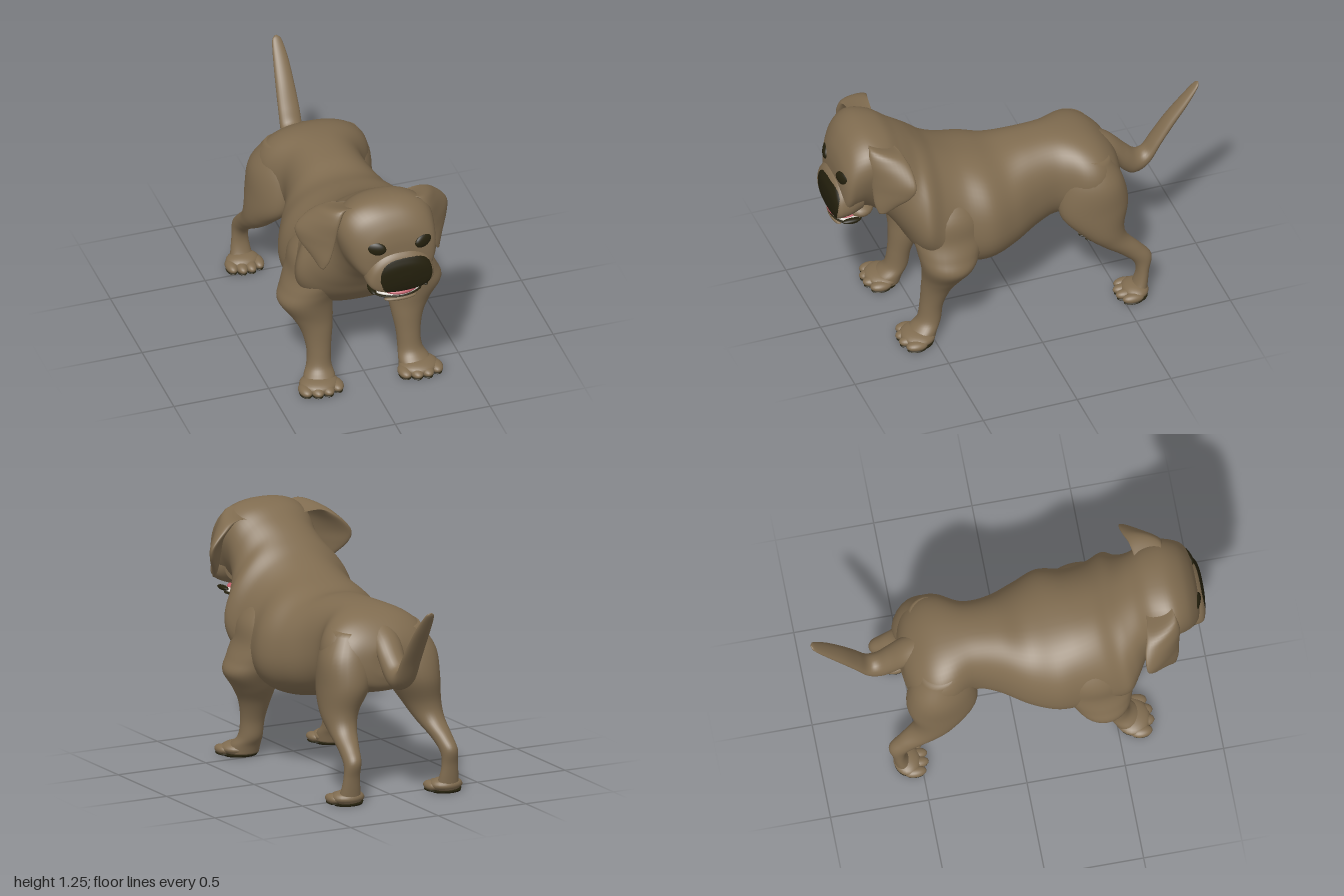
import * as THREE from 'three';

const material = (name, color) => {
  const m = new THREE.MeshStandardMaterial({ color });
  m.name = name;
  return m;
};

// Smooth closed skin through rings [pointA, pointB, halfWidth, pear]; pear > 0 is wider towards B.
// paint(x, y, z) picks the faces of the second material.
function loft(rings, { side = [1, 0, 0], steps = 6, segs = 40, square = 1, paint = null } = {}) {
  const curve = (pts) => new THREE.CatmullRomCurve3(pts, false, 'catmullrom', 0.5);
  const ca = curve(rings.map((r) => new THREE.Vector3(...r[0])));
  const cb = curve(rings.map((r) => new THREE.Vector3(...r[1])));
  const cw = curve(rings.map((r) => new THREE.Vector3(r[2], r[3] || 0, 0)));
  const u = new THREE.Vector3(...side).normalize();
  const n = (rings.length - 1) * steps;
  const pts = [], ends = [];
  const bend = (s) => Math.sign(s) * Math.abs(s) ** square;
  for (let i = 0; i <= n; i++) {
    const a = ca.getPoint(i / n), b = cb.getPoint(i / n), w = cw.getPoint(i / n);
    const c = a.clone().add(b).multiplyScalar(0.5);
    const v = a.clone().sub(b).multiplyScalar(0.5);
    for (let j = 0; j < segs; j++) {
      const t = (j / segs) * Math.PI * 2;
      const up = bend(Math.sin(t));
      pts.push(c.clone().addScaledVector(u, w.x * bend(Math.cos(t)) * (1 - w.y * up)).addScaledVector(v, up));
    }
    if (i === 0 || i === n) ends.push(c);
  }
  const first = pts.length, last = first + 1;
  pts.push(...ends);
  const tris = [];
  for (let j = 0; j < segs; j++) {
    const k = (j + 1) % segs, e = n * segs;
    for (let i = 0; i < n; i++) {
      const a = i * segs + j, b = i * segs + k;
      tris.push([a, b, b + segs], [a, b + segs, a + segs]);
    }
    tris.push([first, k, j], [last, e + j, e + k]);
  }
  // turn the skin outward
  let volume = 0;
  const cross = new THREE.Vector3();
  for (const [a, b, c] of tris) volume += pts[a].dot(cross.crossVectors(pts[b], pts[c]));
  const plain = [], painted = [];
  for (const [a, b, c] of tris) {
    const m = pts[a].clone().add(pts[b]).add(pts[c]).divideScalar(3);
    const list = paint && paint(m.x, m.y, m.z) ? painted : plain;
    list.push(a, volume > 0 ? b : c, volume > 0 ? c : b);
  }
  const g = new THREE.BufferGeometry().setFromPoints(pts);
  g.setIndex([...plain, ...painted]);
  if (paint) {
    g.addGroup(0, plain.length, 0);
    g.addGroup(plain.length, painted.length, 1);
  }
  g.computeVertexNormals();
  return g;
}

// Ring in a side profile: centre x, A (z, y), B (z, y), half width, pear
const ring = ([x, az, ay, bz, by, w, pear]) => [[x, ay, az], [x, by, bz], w, pear];

export function createModel() {
  const dog = new THREE.Group();
  dog.name = 'dog';
  const coat = material('brown coat', 0x806c50);
  const dark = material('dark skin', 0x24200d);
  const white = material('teeth white', 0xd8d4cc);
  const pink = material('tongue pink', 0xc4606c);

  const add = (name, geometry, mat, parent = dog) => {
    const mesh = new THREE.Mesh(geometry, mat);
    mesh.name = name;
    parent.add(mesh);
    return mesh;
  };
  const ball = (name, mat, pos, radii, parent = dog) => {
    const mesh = add(name, new THREE.SphereGeometry(1, 24, 16), mat, parent);
    mesh.position.set(...pos);
    mesh.scale.set(...radii);
    return mesh;
  };

  // Rump, trunk, neck and skull in one skin
  add('body', loft([
    [0.02, -0.545, 0.74, -0.55, 0.66, 0.03],
    [0.02, -0.535, 0.79, -0.55, 0.61, 0.12],
    [0.02, -0.49, 0.855, -0.52, 0.55, 0.22],
    [0.02, -0.42, 0.91, -0.40, 0.51, 0.285],
    [0.02, -0.33, 0.94, -0.30, 0.49, 0.28],
    [0.018, -0.20, 0.95, -0.20, 0.48, 0.215],
    [0.015, -0.05, 0.94, -0.10, 0.45, 0.235, 0.05],
    [0.01, 0.08, 0.92, 0.05, 0.40, 0.305, 0.1],
    [0.01, 0.20, 0.945, 0.20, 0.365, 0.355, 0.1],
    [0, 0.32, 0.98, 0.35, 0.37, 0.34, 0.15],
    [0, 0.42, 1.03, 0.48, 0.43, 0.34, 0.22],
    [0, 0.49, 1.085, 0.575, 0.53, 0.35, 0.26],
    [0, 0.55, 1.135, 0.63, 0.62, 0.30, 0.24],
    [0.01, 0.62, 1.185, 0.69, 0.70, 0.25, 0.05],
    [0.01, 0.70, 1.235, 0.76, 0.75, 0.235, -0.18],
    [0.01, 0.80, 1.25, 0.82, 0.77, 0.235, -0.27],
    [0.022, 0.88, 1.215, 0.88, 0.79, 0.222, -0.16],
    [0.04, 0.93, 1.15, 0.925, 0.80, 0.195, -0.03],
    [0.045, 0.953, 1.08, 0.95, 0.81, 0.145],
    [0.045, 0.96, 1.0, 0.96, 0.88, 0.05],
  ].map(ring), { segs: 56, square: 0.87 }), coat);

  // Blunt muzzle with the dark nose painted on its front faces
  const nose = (x, y, z) => {
    const half = y > 0.87 ? 0.137 : 0.137 - (0.87 - y) * 0.2;
    return z > 0.96 && Math.abs((x - 0.065) / half) ** 2.7 + Math.abs((y - 0.872) / 0.112) ** 2.7 < 1;
  };
  add('muzzle', loft([
    [0.035, 0.84, 1.05, 0.84, 0.80, 0.165, 0.1],
    [0.04, 0.90, 1.04, 0.90, 0.785, 0.172, 0.15],
    [0.043, 0.945, 1.02, 0.945, 0.783, 0.17, 0.18],
    [0.048, 0.972, 0.995, 0.972, 0.785, 0.16, 0.18],
    [0.055, 0.987, 0.965, 0.984, 0.795, 0.135, 0.12],
    [0.06, 0.996, 0.935, 0.992, 0.82, 0.085],
    [0.06, 0.999, 0.89, 0.997, 0.85, 0.03],
  ].map(ring), { steps: 12, segs: 96, square: 0.85, paint: nose }), [coat, dark]);

  // Open mouth: brown jaw behind, pale chin, dark gum line, teeth and tongue
  const mouth = new THREE.Group();
  mouth.name = 'mouth';
  dog.add(mouth);
  ball('lowerJaw', coat, [0.04, 0.785, 0.83], [0.13, 0.05, 0.085], mouth);
  ball('chin', white, [0.045, 0.757, 0.895], [0.105, 0.04, 0.07], mouth);
  ball('frontLip', coat, [0.045, 0.731, 0.943], [0.085, 0.014, 0.026], mouth);
  ball('gumLine', dark, [0.045, 0.749, 0.888], [0.13, 0.01, 0.084], mouth);
  ball('lowerTeeth', white, [0.045, 0.764, 0.886], [0.128, 0.02, 0.086], mouth);
  ball('tongue', pink, [0.05, 0.774, 0.898], [0.1, 0.025, 0.082], mouth);
  for (const s of [-1, 1]) ball('lipCorner', dark, [0.045 + s * 0.136, 0.777, 0.9], [0.018, 0.012, 0.05], mouth);

  // Eyes
  for (const s of [-1, 1]) {
    const eye = ball('eye', dark, [0.043 + s * 0.128, 1.045, 0.938], [0.056, 0.037, 0.02]);
    eye.rotation.set(-0.12, s * 0.4, s * 0.15);
  }

  // Tail, curling under and then rising
  add('tail', loft([
    [0.02, -0.42, 0.90, -0.46, 0.70, 0.085],
    [0.025, -0.53, 0.835, -0.53, 0.69, 0.075],
    [0.03, -0.61, 0.755, -0.585, 0.615, 0.068],
    [0.03, -0.665, 0.705, -0.645, 0.575, 0.062],
    [0.03, -0.71, 0.705, -0.725, 0.615, 0.058],
    [0.033, -0.755, 0.765, -0.80, 0.74, 0.055],
    [0.036, -0.825, 0.865, -0.865, 0.835, 0.049],
    [0.04, -0.905, 0.96, -0.935, 0.935, 0.04],
    [0.04, -0.975, 1.035, -0.99, 1.02, 0.025],
    [0.04, -0.997, 1.05, -1.0, 1.045, 0.006],
  ].map(ring), { segs: 24 }), coat);

  ball('bellyFold', coat, [0.02, 0.46, -0.10], [0.035, 0.03, 0.065]);

  // Paw with four toes and a dark sole
  const paw = (name, x, z, width, length) => {
    const g = new THREE.Group();
    g.name = name;
    g.position.set(x, 0, z);
    dog.add(g);
    ball('instep', coat, [0, 0.037, 0.005], [width * 0.88, 0.037, length], g);
    const sole = add('sole', new THREE.CylinderGeometry(1, 0.95, 0.008, 24), dark, g);
    sole.position.y = 0.004;
    sole.scale.set(width * 0.8, 1, length * 0.88);
    for (let i = 0; i < 4; i++) {
      const tx = (i - 1.5) * width * 0.47;
      const tz = i === 1 || i === 2 ? 0.056 : 0.036;
      ball('toe', coat, [tx, 0.029, tz], [width * 0.31, 0.025, 0.056], g);
      ball('toePad', dark, [tx, 0.008, tz], [width * 0.27, 0.008, 0.05], g);
    }
  };

  for (const s of [-1, 1]) {
    const label = s > 0 ? 'left' : 'right';
    const mirrored = (r) => ring([s * r[0], ...r.slice(1)]);

    add(label + 'FrontLeg', loft([
      [0.17, 0.48, 0.90, 0.32, 0.88, 0.07],
      [0.225, 0.565, 0.75, 0.23, 0.74, 0.118],
      [0.245, 0.59, 0.63, 0.21, 0.62, 0.122],
      [0.27, 0.58, 0.55, 0.25, 0.53, 0.133],
      [0.287, 0.565, 0.475, 0.29, 0.46, 0.14],
      [0.258, 0.548, 0.38, 0.335, 0.38, 0.11],
      [0.24, 0.548, 0.30, 0.39, 0.30, 0.082],
      [0.236, 0.555, 0.20, 0.435, 0.20, 0.063],
      [0.24, 0.572, 0.11, 0.45, 0.11, 0.063],
      [0.25, 0.62, 0.06, 0.475, 0.06, 0.08],
      [0.255, 0.64, 0.02, 0.49, 0.015, 0.085],
    ].map(mirrored), { segs: 32 }), coat);
    paw(label + 'FrontPaw', s * 0.262, 0.575, 0.115, 0.088);

    // hips sit slightly towards the left
    const hip = (r, i) => ring([s * r[0] + Math.max(0, 0.018 - i * 0.004), ...r.slice(1)]);
    add(label + 'HindLeg', loft([
      [0.15, -0.27, 0.87, -0.47, 0.84, 0.09, 0.1],
      [0.18, -0.21, 0.71, -0.53, 0.72, 0.128, 0.2],
      [0.2, -0.20, 0.54, -0.555, 0.58, 0.122, 0.15],
      [0.235, -0.30, 0.42, -0.525, 0.45, 0.093],
      [0.25, -0.39, 0.34, -0.54, 0.37, 0.072],
      [0.265, -0.49, 0.27, -0.61, 0.295, 0.052],
      [0.275, -0.56, 0.21, -0.66, 0.23, 0.044],
      [0.28, -0.58, 0.15, -0.645, 0.15, 0.043],
      [0.28, -0.565, 0.08, -0.637, 0.08, 0.052],
      [0.28, -0.53, 0.02, -0.63, 0.015, 0.065],
    ].map(hip), { segs: 32 }), coat);
    paw(label + 'HindPaw', s * 0.28, -0.575, 0.098, 0.068);

    // Hanging ear: front edge, back edge, half thickness
    const at = (x, y, z) => [s * x - 0.008, y, z];
    add(label + 'Ear', loft([
      [at(0.1, 1.215, 0.79), at(0.11, 1.17, 0.68), 0.03],
      [at(0.19, 1.215, 0.81), at(0.25, 1.18, 0.66), 0.036],
      [at(0.228, 1.15, 0.825), at(0.33, 1.135, 0.635), 0.032],
      [at(0.245, 1.06, 0.82), at(0.395, 1.06, 0.63), 0.025],
      [at(0.258, 0.99, 0.815), at(0.388, 0.995, 0.655), 0.021],
      [at(0.278, 0.92, 0.81), at(0.345, 0.93, 0.71), 0.017],
      [at(0.3, 0.875, 0.795), at(0.315, 0.877, 0.76), 0.008],
    ], { side: [s * 0.85, 0.1, 0.5], segs: 28 }), coat);
  }
  return dog;
}
